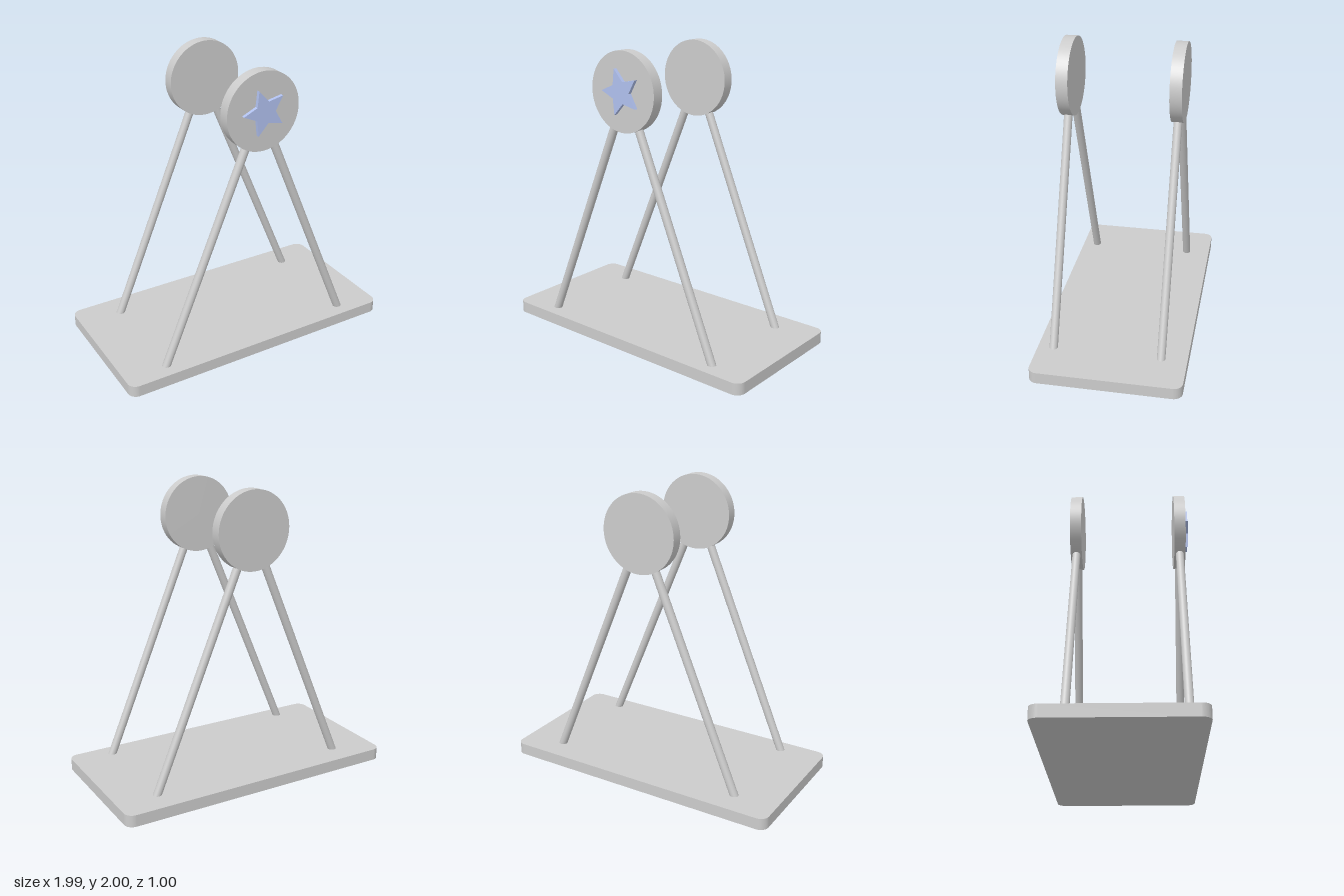
import * as THREE from 'three';

const grey = new THREE.MeshStandardMaterial({ color: 0xcccccc });
const blue = new THREE.MeshStandardMaterial({ color: 0xb0c0ee });

const CX = 0.008, HUB_Y = 1.74, HUB_R = 0.26, HUB_T = 0.078;

function addMesh(parent, name, geometry, material = grey) {
  const mesh = new THREE.Mesh(geometry, material);
  mesh.name = name;
  parent.add(mesh);
  return mesh;
}

// Flat plate with rounded corners, lying on the ground
function baseGeometry(w, d, h, r) {
  const x = w / 2 - r, y = d / 2 - r, s = new THREE.Shape();
  s.absarc(x, y, r, 0, Math.PI / 2);
  s.absarc(-x, y, r, Math.PI / 2, Math.PI);
  s.absarc(-x, -y, r, Math.PI, Math.PI * 1.5);
  s.absarc(x, -y, r, Math.PI * 1.5, Math.PI * 2);
  s.closePath();
  return new THREE.ExtrudeGeometry(s, { depth: h, bevelEnabled: false, curveSegments: 10 })
    .rotateX(-Math.PI / 2);
}

// Five-pointed star with one tip pointing to -x
function starGeometry(outer, inner, depth) {
  const points = [];
  for (let i = 0; i < 10; i++) {
    const a = Math.PI + (i * Math.PI) / 5, r = i % 2 ? inner : outer;
    points.push(new THREE.Vector2(r * Math.cos(a), r * Math.sin(a)));
  }
  return new THREE.ExtrudeGeometry(new THREE.Shape(points), { depth, bevelEnabled: false });
}

// A round rod between two points
function addRod(parent, name, from, to, radius) {
  const dir = to.clone().sub(from);
  const rod = addMesh(parent, name, new THREE.CylinderGeometry(radius, radius, dir.length(), 32));
  rod.position.copy(from).addScaledVector(dir, 0.5);
  rod.quaternion.setFromUnitVectors(new THREE.Vector3(0, 1, 0), dir.normalize());
}

// Two slanted legs meeting inside a round disc
function createFrame(name, z) {
  const frame = new THREE.Group();
  frame.name = name;
  frame.position.set(CX, 0, z);
  const disc = addMesh(frame, 'disc', new THREE.CylinderGeometry(HUB_R, HUB_R, HUB_T, 64).rotateX(Math.PI / 2));
  disc.position.y = HUB_Y;
  for (const side of [-1, 1]) {
    addRod(frame, side > 0 ? 'leftLeg' : 'rightLeg',
      new THREE.Vector3(side * 0.715, 0.04, 0), new THREE.Vector3(side * 0.005, HUB_Y, 0), 0.028);
  }
  return frame;
}

export function createModel() {
  const model = new THREE.Group();
  model.name = 'swingStand';

  addMesh(model, 'base', baseGeometry(1.99, 1, 0.08, 0.06));

  const front = createFrame('frontFrame', 0.395);
  model.add(front, createFrame('backFrame', -0.327));

  // Raised star on the front disc
  const star = addMesh(front, 'star', starGeometry(0.154, 0.073, 0.034), blue);
  star.position.set(0, HUB_Y, HUB_T / 2 - 0.01);

  return model;
}
